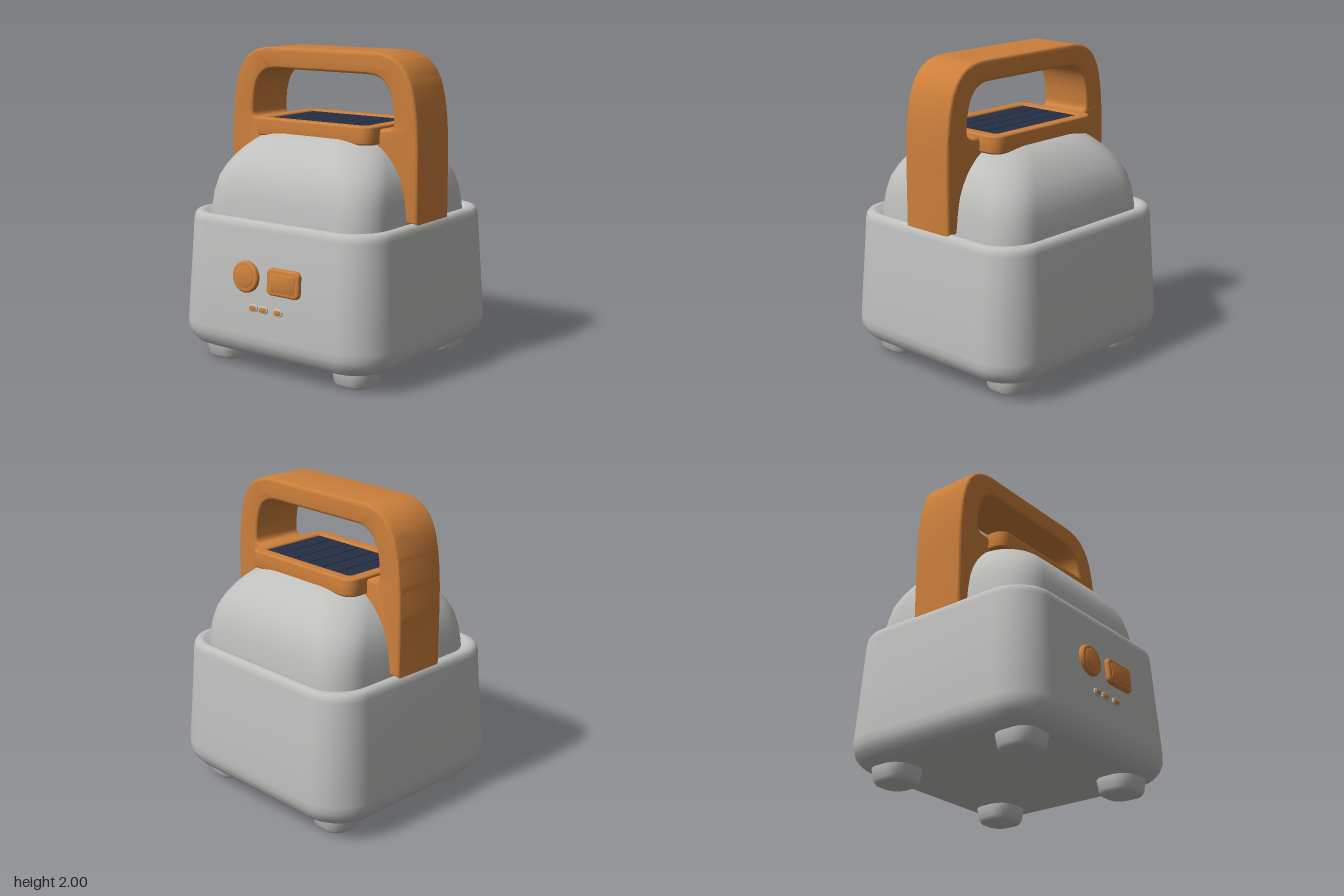
import * as THREE from 'three';
import { toCreasedNormals } from 'three/addons/utils/BufferGeometryUtils.js';

const mat = (name, color, side = THREE.FrontSide) => {
  const m = new THREE.MeshStandardMaterial({ color, side });
  m.name = name;
  return m;
};

// Rounded rectangle outline centred on (cx, cy)
function roundRect(target, w, h, r, cx = 0, cy = 0) {
  const corners = [[1, 1, 0], [-1, 1, 1], [-1, -1, 2], [1, -1, 3]];
  target.moveTo(cx + w / 2, cy + h / 2 - r);
  for (const [sx, sy, q] of corners) {
    target.absarc(cx + sx * (w / 2 - r), cy + sy * (h / 2 - r), r, q * Math.PI / 2, (q + 1) * Math.PI / 2, false);
  }
  target.closePath();
  return target;
}

// Closed solid lofted upward through rounded-rectangle rings [y, halfX, halfZ, cornerRadius]
function loft(rings, cz = 0, steps = 10) {
  const pos = [], idx = [], n = 4 * (steps + 1);
  for (const [y, hx, hz, r] of rings) {
    for (let q = 0; q < 4; q++) {
      const sx = q === 0 || q === 3 ? 1 : -1, sz = q < 2 ? 1 : -1;
      for (let k = 0; k <= steps; k++) {
        const a = (q + k / steps) * Math.PI / 2;
        pos.push(sx * (hx - r) + r * Math.cos(a), y, cz + sz * (hz - r) + r * Math.sin(a));
      }
    }
  }
  for (let j = 0; j < rings.length - 1; j++) {
    for (let i = 0; i < n; i++) {
      const a = j * n + i, b = j * n + (i + 1) % n;
      idx.push(a, a + n, b, b, a + n, b + n);
    }
  }
  const last = (rings.length - 1) * n, c = rings.length * n;
  pos.push(0, rings[0][0], cz, 0, rings[rings.length - 1][0], cz);
  for (let i = 0; i < n; i++) {
    const k = (i + 1) % n;
    idx.push(c, i, k, c + 1, last + k, last + i);
  }
  const g = new THREE.BufferGeometry();
  g.setAttribute('position', new THREE.Float32BufferAttribute(pos, 3));
  g.setIndex(idx);
  return toCreasedNormals(g, 0.75);
}

// Extrusion along z with rounded edges, kept inside the drawn outline
function slab(shape, depth, bevel) {
  const g = new THREE.ExtrudeGeometry(shape, {
    depth: depth - 2 * bevel, bevelThickness: bevel, bevelSize: bevel,
    bevelOffset: -bevel, bevelSegments: 4, curveSegments: 16,
  });
  g.translate(0, 0, bevel);
  return toCreasedNormals(g, 0.6);
}

export function createModel() {
  const grey = mat('shellGrey', 0xbfc0be);
  const orange = mat('orange', 0xcc7f3b);
  const navy = mat('panelNavy', 0x1e2536);
  const cellBlue = mat('cellNavy', 0x262f45);

  const model = new THREE.Group();
  const add = (parent, name, geo, material, x = 0, y = 0, z = 0) => {
    const m = new THREE.Mesh(geo, material);
    m.name = name;
    m.position.set(x, y, z);
    parent.add(m);
    return m;
  };

  // Tapered lower housing with a rounded rim
  add(model, 'housing', loft([
    [0.10, 0.67, 0.63, 0.2], [0.105, 0.70, 0.66, 0.22], [0.125, 0.74, 0.70, 0.24],
    [0.16, 0.772, 0.73, 0.26], [0.21, 0.792, 0.748, 0.275], [0.26, 0.793, 0.75, 0.275],
    [0.6, 0.771, 0.725, 0.26], [0.92, 0.749, 0.702, 0.24], [0.95, 0.744, 0.697, 0.24],
    [0.968, 0.731, 0.684, 0.23], [0.975, 0.712, 0.665, 0.22], [0.972, 0.69, 0.645, 0.22],
    [0.955, 0.672, 0.63, 0.22],
  ], -0.005), grey);

  // Domed upper cover
  add(model, 'dome', loft([
    [0.94, 0.665, 0.625, 0.22], [1.0, 0.66, 0.62, 0.22], [1.1, 0.648, 0.606, 0.22],
    [1.19, 0.63, 0.584, 0.23], [1.26, 0.602, 0.55, 0.24], [1.32, 0.565, 0.508, 0.24],
    [1.37, 0.524, 0.462, 0.24], [1.41, 0.482, 0.415, 0.23], [1.44, 0.44, 0.37, 0.22],
    [1.465, 0.39, 0.315, 0.2], [1.478, 0.34, 0.26, 0.17], [1.482, 0.28, 0.2, 0.13],
  ], -0.01), grey);

  // Four feet
  for (const sx of [-1, 1]) for (const sz of [-1, 1]) {
    add(model, 'foot', loft([
      [0, 0.1, 0.1, 0.08], [0.006, 0.117, 0.117, 0.09], [0.025, 0.13, 0.13, 0.1],
      [0.1, 0.142, 0.142, 0.11], [0.13, 0.142, 0.142, 0.11],
    ]), grey, sx * 0.51, 0, sz * 0.485 - 0.003);
  }

  // Carry handle with a rounded grip opening
  const outer = new THREE.Shape();
  outer.moveTo(-0.735, 0.965);
  outer.lineTo(0.735, 0.965);
  outer.lineTo(0.735, 1.32);
  outer.bezierCurveTo(0.735, 1.55, 0.72, 1.7, 0.68, 1.82);
  outer.bezierCurveTo(0.63, 1.94, 0.55, 2.0, 0.4, 2.0);
  outer.lineTo(-0.4, 2.0);
  outer.bezierCurveTo(-0.55, 2.0, -0.63, 1.94, -0.68, 1.82);
  outer.bezierCurveTo(-0.72, 1.7, -0.735, 1.55, -0.735, 1.32);
  outer.closePath();
  const grip = new THREE.Path();
  grip.moveTo(-0.5, 1.535);
  grip.bezierCurveTo(-0.545, 1.535, -0.56, 1.55, -0.557, 1.59);
  grip.bezierCurveTo(-0.55, 1.77, -0.5, 1.865, -0.36, 1.865);
  grip.lineTo(0.36, 1.865);
  grip.bezierCurveTo(0.5, 1.865, 0.55, 1.77, 0.557, 1.59);
  grip.bezierCurveTo(0.56, 1.55, 0.545, 1.535, 0.5, 1.535);
  grip.closePath();
  outer.holes.push(grip);
  add(model, 'handle', slab(outer, 0.366, 0.018), orange, 0, 0, -0.186);

  // Panel tray: solid base and raised frame
  const tray = new THREE.Group();
  tray.name = 'panelTray';
  tray.position.set(0, 1.44, -0.017);
  model.add(tray);
  const base = slab(roundRect(new THREE.Shape(), 0.92, 0.624, 0.08), 0.1, 0.015).rotateX(-Math.PI / 2);
  add(tray, 'trayBase', base, orange);
  const rim = roundRect(new THREE.Shape(), 0.92, 0.624, 0.08);
  rim.holes.push(roundRect(new THREE.Path(), 0.765, 0.475, 0.02));
  add(tray, 'trayFrame', slab(rim, 0.1, 0.012).rotateX(-Math.PI / 2), orange, 0, 0.016, 0);

  // Dark panel with a grid of thin cells
  add(tray, 'solarPanel', new THREE.BoxGeometry(0.775, 0.02, 0.485), navy, 0, 0.094, 0);
  const cell = new THREE.BoxGeometry(0.12, 0.004, 0.108);
  for (let i = 0; i < 6; i++) for (let j = 0; j < 4; j++) {
    add(tray, 'solarCell', cell, cellBlue, (i - 2.5) * 0.127, 0.105, (j - 1.5) * 0.116);
  }

  // Front controls, leaning with the housing wall
  const controls = new THREE.Group();
  controls.name = 'frontControls';
  controls.position.set(0, 0.625, 0.712);
  controls.rotation.x = -0.074;
  model.add(controls);
  const disc = (r) => new THREE.Shape().absarc(0, 0, r, 0, Math.PI * 2, false);
  add(controls, 'roundButton', slab(disc(0.1), 0.05, 0.015), orange, -0.16, 0, -0.015);
  add(controls, 'roundButtonFace', slab(disc(0.07), 0.009, 0.003), orange, -0.16, 0, 0.03);
  add(controls, 'portCover', slab(roundRect(new THREE.Shape(), 0.25, 0.17, 0.035), 0.05, 0.015), orange, 0.14, 0, -0.015);
  add(controls, 'portCoverFace', slab(roundRect(new THREE.Shape(), 0.19, 0.115, 0.02), 0.009, 0.003), orange, 0.14, 0, 0.03);

  // Row of indicator lights, each in a shallow grey bezel
  for (const x of [-0.1, -0.02, 0.095]) {
    add(controls, 'indicatorBezel', slab(roundRect(new THREE.Shape(), 0.074, 0.048, 0.023), 0.03, 0.005), grey, x, -0.19, -0.015);
    add(controls, 'indicator', slab(roundRect(new THREE.Shape(), 0.052, 0.03, 0.014), 0.009, 0.003), orange, x, -0.19, 0.011);
  }

  return model;
}
